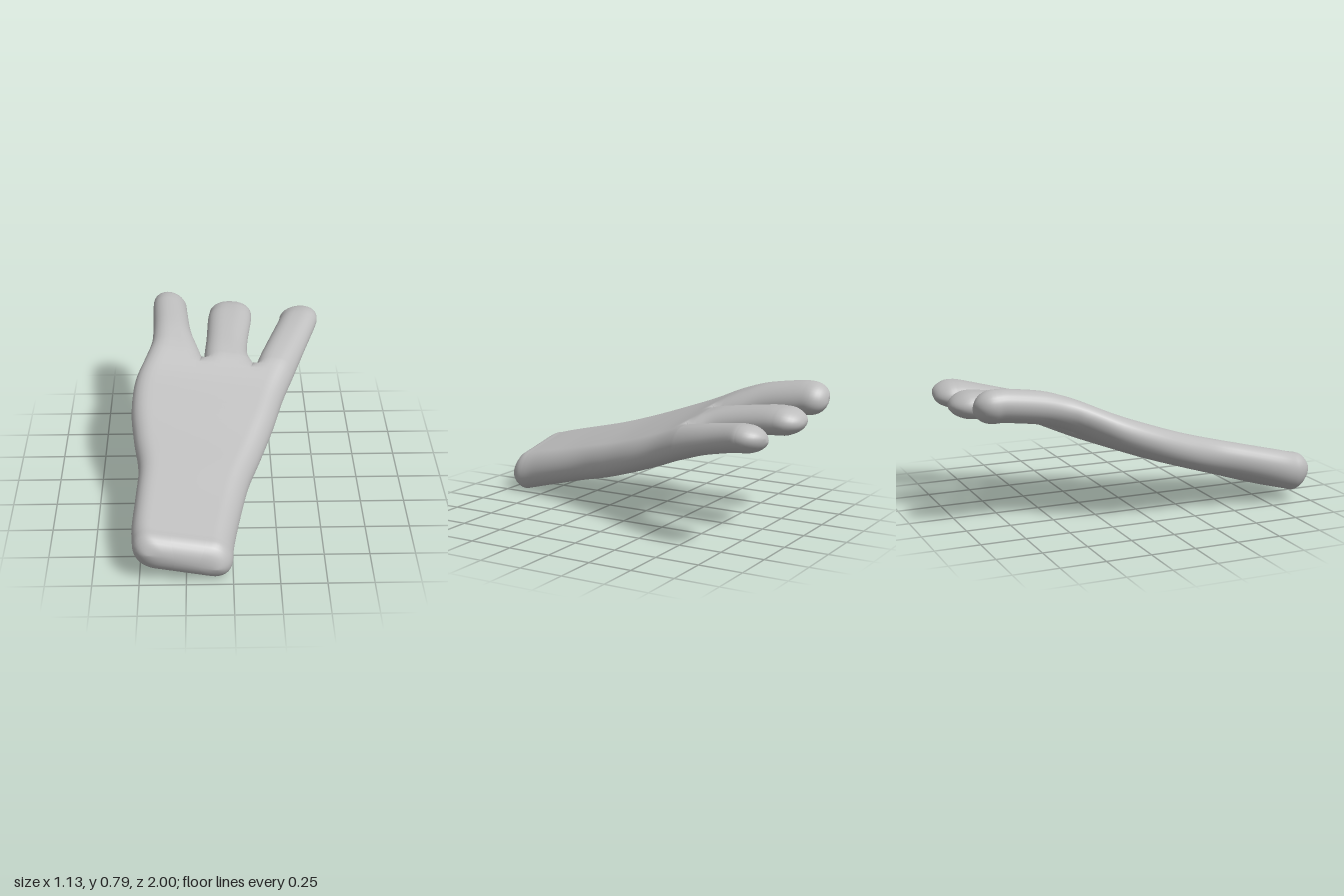
import * as THREE from 'three';
import { mergeVertices } from 'three/addons/utils/BufferGeometryUtils.js';

const COLS = 16;              // spans across each strip
const CAP = 8;                // rows in each rounded end
const EDGE = 0.1;             // width of the rounded side edges
const CROTCH = -0.38;         // z where the fingers part
const SPLITS = [0, 0.385, 0.735, 1]; // share of the palm width that feeds each finger
const lerp = THREE.MathUtils.lerp;

// Sections: [z, left x, right x, left y, right y, thickness]
const PALM = [
  [0.90, -0.535, 0.00, 0.195, 0.10, 0.225],
  [0.80, -0.54, 0.01, 0.225, 0.125, 0.22],
  [0.60, -0.525, 0.05, 0.28, 0.175, 0.205],
  [0.40, -0.515, 0.10, 0.33, 0.23, 0.20],
  [0.20, -0.545, 0.175, 0.39, 0.285, 0.195],
  [0.00, -0.565, 0.25, 0.46, 0.35, 0.19],
  [-0.20, -0.55, 0.315, 0.535, 0.42, 0.185],
  [CROTCH, -0.485, 0.39, 0.615, 0.49, 0.18],
];
const FINGERS = [
  { // right finger
    tip: 0.105,
    rows: [
      [-0.47, -0.457, -0.18, 0.65, 0.605, 0.18],
      [-0.60, -0.45, -0.222, 0.685, 0.65, 0.185],
      [-0.80, -0.455, -0.245, 0.715, 0.68, 0.185],
      [-0.87, -0.455, -0.25, 0.715, 0.685, 0.185],
    ],
  },
  { // middle finger
    tip: 0.12,
    rows: [
      [-0.47, -0.142, 0.118, 0.59, 0.56, 0.17],
      [-0.60, -0.13, 0.118, 0.615, 0.59, 0.155],
      [-0.80, -0.12, 0.145, 0.64, 0.625, 0.15],
      [-0.88, -0.11, 0.15, 0.64, 0.635, 0.15],
    ],
  },
  { // left finger
    tip: 0.11,
    rows: [
      [-0.47, 0.187, 0.425, 0.545, 0.52, 0.17],
      [-0.60, 0.237, 0.475, 0.575, 0.56, 0.155],
      [-0.80, 0.31, 0.55, 0.605, 0.615, 0.15],
      [-0.86, 0.325, 0.56, 0.605, 0.625, 0.15],
    ],
  },
];

// Smooth curve through the sections
function smoothRows(rows, steps) {
  const curve = k => new THREE.CatmullRomCurve3(
    rows.map(r => new THREE.Vector3(r[k], r[k + 1], r[k + 2])), false, 'catmullrom', 0.5);
  const a = curve(0), b = curve(3), n = (rows.length - 1) * steps;
  return Array.from({ length: n + 1 }, (_, i) =>
    [...a.getPoint(i / n).toArray(), ...b.getPoint(i / n).toArray()]);
}

// Rounded end beyond a section: rows shrink along a quarter circle
function capRows([z, xl, xr, yl, yr, th], dir, r) {
  return Array.from({ length: CAP }, (_, i) => {
    const t = ((i + 1) / CAP) * Math.PI / 2;
    const inset = Math.min(r, (xr - xl) / 2) * (1 - Math.cos(t));
    return [z + dir * r * Math.sin(t), xl + inset, xr - inset, yl, yr, th * Math.cos(t)];
  });
}

// Part of a section between two shares of its width, at the section's own height
function slice([z, xl, xr, yl, yr, th], f0, f1) {
  return [z, lerp(xl, xr, f0), lerp(xl, xr, f1), lerp(yl, yr, f0), lerp(yl, yr, f1), th];
}

function buildSkin() {
  const palmMid = smoothRows(PALM, 5);
  const palmRows = [...capRows(palmMid[0], 1, 0.1).reverse(), ...palmMid];
  const last = palmRows[palmRows.length - 1];
  const crotches = [SPLITS[1], SPLITS[2]].map(f => lerp(last[1], last[2], f));
  const pos = [], idx = [];

  FINGERS.forEach(({ rows, tip }, s) => {
    // Each strip runs from the wrist through the palm to one fingertip
    const part = r => slice(r, SPLITS[s], SPLITS[s + 1]);
    const finger = smoothRows([part(last), ...rows], 5).slice(1);
    const strip = [
      ...palmRows.map(r => ({ row: part(r), left: r[1], right: r[2], palm: true })),
      ...[...finger, ...capRows(finger[finger.length - 1], -1, tip)]
        .map(r => ({ row: r, left: r[1], right: r[2], palm: false })),
    ];

    // Top and bottom sheets, meeting where the thickness falls to zero at the outline
    for (const side of [1, -1]) {
      const base = pos.length / 3;
      strip.forEach(({ row, left, right, palm }, j) => {
        const [z, xl, xr, yl, yr, th] = row;
        const reach = Math.min(EDGE, (right - left) / 2);
        for (let i = 0; i <= COLS; i++) {
          const u = (1 - Math.cos((Math.PI * i) / COLS)) / 2;
          const x = lerp(xl, xr, u);
          let d = Math.min(x - left, right - x);
          // short dip in front of each crotch
          if (palm) for (const c of crotches) d = Math.min(d, Math.hypot(x - c, 2 * (z - CROTCH)));
          const e = reach > 1e-6 ? THREE.MathUtils.clamp(d / reach, 0, 1) : 0;
          const h = (th / 2) * Math.sqrt(1 - (1 - e) ** 2);
          pos.push(x, lerp(yl, yr, u) + side * h, z);
          if (j < strip.length - 1 && i < COLS) {
            const p = base + j * (COLS + 1) + i, q = p + COLS + 1;
            if (side > 0) idx.push(p, p + 1, q, p + 1, q + 1, q);
            else idx.push(p, q, p + 1, p + 1, q, q + 1);
          }
        }
      });
    }
  });

  const g = new THREE.BufferGeometry();
  g.setAttribute('position', new THREE.Float32BufferAttribute(pos, 3));
  g.setIndex(idx);
  const skin = mergeVertices(g, 1e-4);
  skin.computeVertexNormals();
  return skin;
}

export function createModel() {
  const group = new THREE.Group();
  group.name = 'threeFingeredHand';
  const grey = new THREE.MeshStandardMaterial({ color: 0xbcbcbc });
  grey.name = 'plain grey';

  // Wrist, palm and three fingers in one continuous skin
  const hand = new THREE.Mesh(buildSkin(), grey);
  hand.name = 'hand';
  group.add(hand);
  return group;
}
